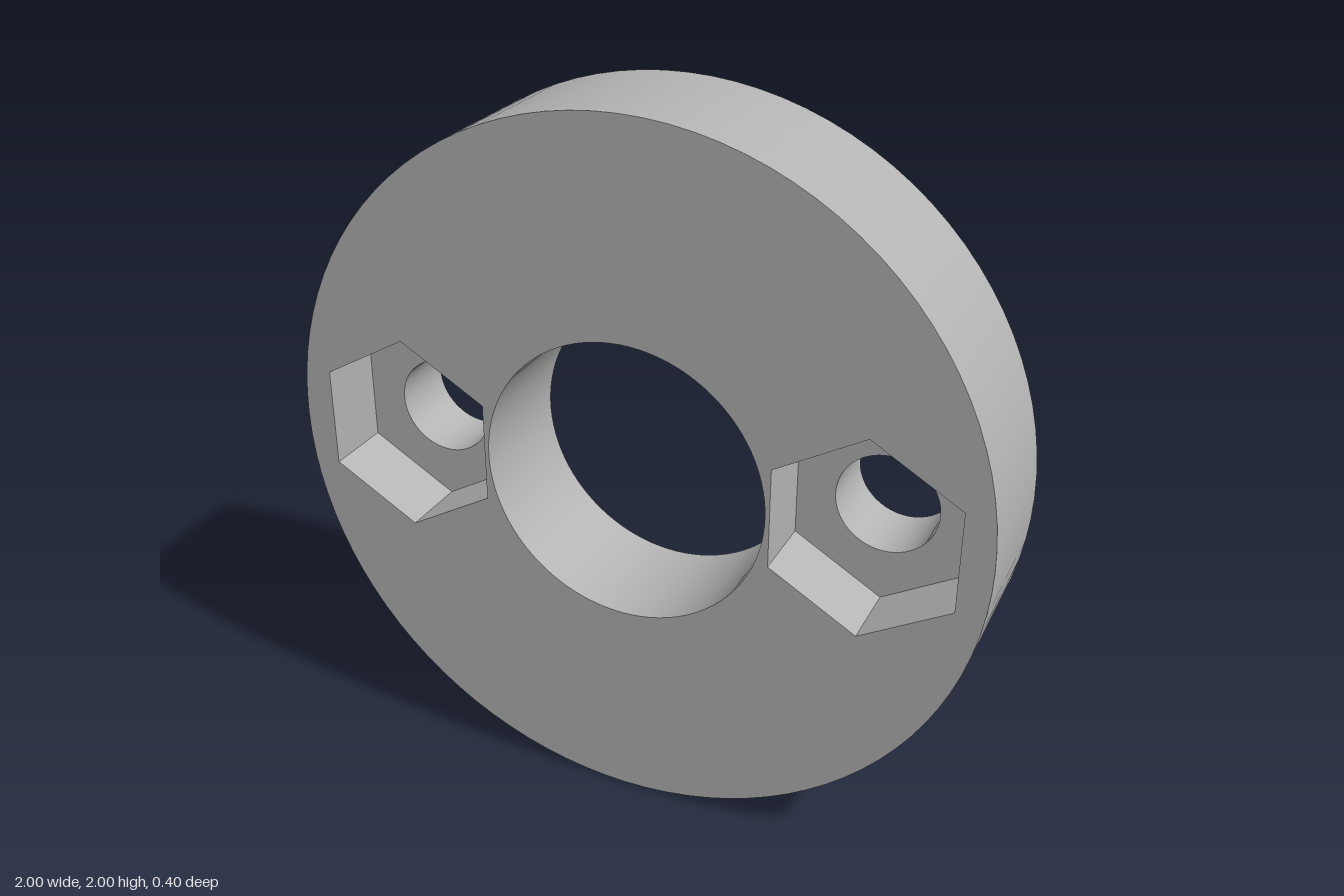
import * as THREE from 'three';

const SEG = 96;
const FRONT = 0.2, BACK = -0.2, FLOOR = 0, SHOULDER = -0.155;
const RIM = 1, BORE = 0.405, RECESS = 0.462;
const BOLT = 0.141, BOLT_X = 0.665, HEX = 0.286;

export function createModel() {
  const group = new THREE.Group();
  group.name = 'boltedRing';
  const steel = new THREE.MeshStandardMaterial({ color: 0xb3b3b3 });
  steel.name = 'grey steel';

  const add = (name, geometry, x = 0) => {
    const mesh = new THREE.Mesh(geometry, steel);
    mesh.name = name;
    mesh.position.set(x, 1, 0);
    group.add(mesh);
  };

  // Wall along z: faces outward when z0 < z1, inward when z0 > z1
  const wall = (r, z0, z1, sides = SEG) => {
    const g = new THREE.LatheGeometry([new THREE.Vector2(r, z0), new THREE.Vector2(r, z1)], sides);
    g.rotateX(Math.PI / 2);
    if (sides > 6) return g;
    const flat = g.toNonIndexed();
    flat.computeVertexNormals();
    return flat;
  };

  const circle = (r, x = 0) => new THREE.Path().absarc(x, 0, r, 0, Math.PI * 2, false);
  const hexagon = (r, x = 0) => new THREE.Path(Array.from({ length: 6 }, (_, i) => {
    const a = Math.PI / 2 + i * Math.PI / 3;
    return new THREE.Vector2(x + r * Math.cos(a), r * Math.sin(a));
  }));

  // Flat plate with holes at depth z, optionally turned to the back
  const plate = (outline, holes, z, back = false) => {
    const shape = new THREE.Shape(outline.getPoints(SEG / 2));
    shape.holes.push(...holes);
    const g = new THREE.ShapeGeometry(shape, SEG / 2);
    if (back) g.rotateY(Math.PI);
    return g.translate(0, 0, z);
  };

  // Disc body
  add('frontFace', plate(circle(RIM),
    [circle(BORE), hexagon(HEX, BOLT_X), hexagon(HEX, -BOLT_X)], FRONT));
  add('backFace', plate(circle(RIM),
    [circle(RECESS), circle(BOLT, BOLT_X), circle(BOLT, -BOLT_X)], BACK, true));
  add('outerRim', wall(RIM, BACK, FRONT));

  // Central bore with a shallow recess at the back
  add('boreWall', wall(BORE, FRONT, SHOULDER));
  add('recessShoulder', plate(circle(RECESS), [circle(BORE)], SHOULDER, true));
  add('recessWall', wall(RECESS, SHOULDER, BACK));

  // Hexagonal nut pockets leading to round bolt holes
  for (const [side, x] of [['left', BOLT_X], ['right', -BOLT_X]]) {
    add(side + 'NutPocketWalls', wall(HEX, FRONT, FLOOR, 6), x);
    add(side + 'NutPocketFloor', plate(hexagon(HEX), [circle(BOLT)], FLOOR), x);
    add(side + 'BoltHole', wall(BOLT, FLOOR, BACK), x);
  }
  return group;
}
